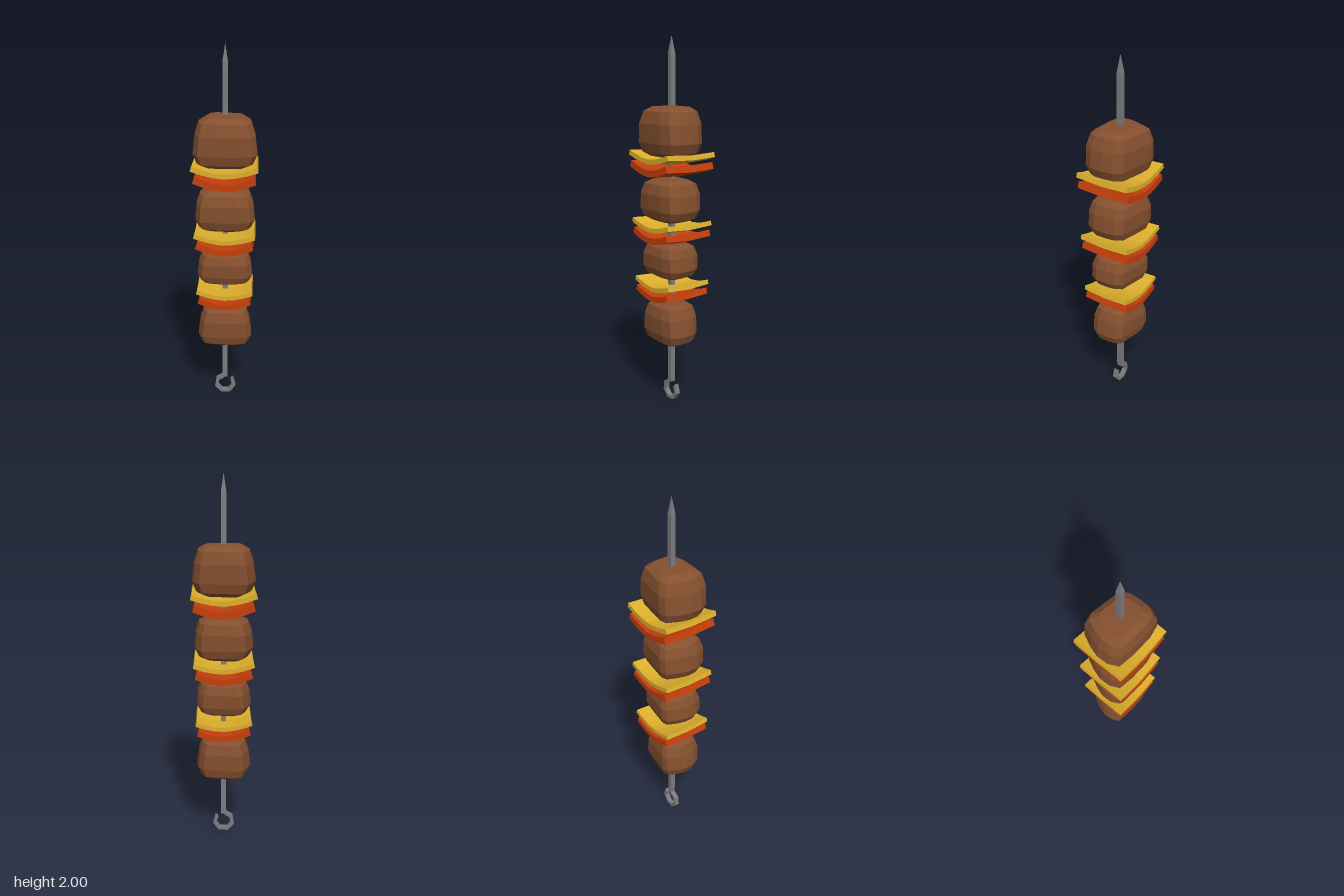
import * as THREE from 'three';

const paint = (color) => new THREE.MeshStandardMaterial({ color, flatShading: true });
const metal = paint(0x7c7c80), meat = paint(0x85502f), yellow = paint(0xddb02c), red = paint(0xc63f0c);

// Outline of a meat chunk seen from above (x, z), counter-clockwise
const OUTLINE = [
  [-0.172, 0], [-0.168, 0.065], [-0.14, 0.118], [-0.05, 0.13], [0.075, 0.132], [0.145, 0.117], [0.17, 0.07],
  [0.17, 0], [0.16, -0.06], [0.13, -0.105], [0.02, -0.122], [-0.085, -0.137], [-0.125, -0.125], [-0.155, -0.06],
];
// Height fraction, width scale, depth scale
const LEVELS = [[0, 0.6, 0.65], [0.08, 0.87, 0.87], [0.27, 1, 0.98], [0.65, 0.95, 1], [0.89, 0.83, 0.87], [0.98, 0.6, 0.6]];

function chunkGeometry(height, sx, sz, taper) {
  const n = OUTLINE.length, pos = [], index = [];
  for (const [t, wx, wz] of LEVELS) {
    const k = 1 - taper * t;
    for (const [x, z] of OUTLINE) pos.push(x * wx * sx * k, t * height, z * wz * sz);
  }
  const bottom = pos.length / 3, top = bottom + 1, last = (LEVELS.length - 1) * n;
  pos.push(0, 0, 0, 0, height, 0);
  for (let i = 0; i < n; i++) {
    const j = (i + 1) % n;
    for (let r = 0; r < last; r += n) {
      index.push(r + i, r + j, r + n + j, r + i, r + n + j, r + n + i);
    }
    index.push(bottom, j, i, top, last + i, last + j);
  }
  const g = new THREE.BufferGeometry();
  g.setAttribute('position', new THREE.Float32BufferAttribute(pos, 3));
  g.setIndex(index);
  g.computeVertexNormals();
  return g;
}

// Thin slab curled up at both x ends, with a slight dip along z
function sliceGeometry(width, thick, depth, rise) {
  const g = new THREE.BoxGeometry(width, thick, depth, 6, 1, 2);
  const p = g.attributes.position;
  for (let i = 0; i < p.count; i++) {
    const x = p.getX(i), y = p.getY(i), z = p.getZ(i);
    const u = x / (width / 2), slope = 2 * rise * u / (width / 2);
    p.setX(i, x - slope * y * 0.6);
    p.setY(i, y + rise * Math.pow(Math.abs(u), 1.7) - 0.008 * (1 - Math.abs(z) / (depth / 2)) + 0.005 * (1 - u) / 2);
  }
  g.computeVertexNormals();
  return g;
}

// Open hook at the foot of the skewer
function hookGeometry() {
  const ring = (r) => Array.from({ length: 7 }, (_, i) => {
    const a = (95 + i * 51) * Math.PI / 180;
    return new THREE.Vector2(r * Math.cos(a), r * Math.sin(a));
  });
  const shape = new THREE.Shape([...ring(0.061), ...ring(0.041).reverse()]);
  return new THREE.ExtrudeGeometry(shape, { depth: 0.026, bevelEnabled: false }).translate(0, 0.058, -0.013);
}

export function createModel() {
  const group = new THREE.Group();
  const add = (name, geometry, material, y = 0) => {
    const mesh = new THREE.Mesh(geometry, material);
    mesh.name = name;
    mesh.position.y = y;
    group.add(mesh);
  };

  // Square skewer with pointed tip and hook
  const r = 0.014 * Math.SQRT2;
  add('skewerRod', new THREE.CylinderGeometry(r, r, 1.8, 4).rotateY(Math.PI / 4), metal, 1.005);
  add('skewerTip', new THREE.ConeGeometry(r, 0.095, 4, 1, true).rotateY(Math.PI / 4), metal, 1.9525);
  add('skewerHook', hookGeometry(), metal);

  // Meat chunks: base height, height, width scale, depth scale, taper
  [
    [0.345, 0.235, 0.89, 0.86, 0.08],
    [0.72, 0.19, 0.87, 0.89, 0],
    [1.03, 0.225, 0.93, 0.97, 0],
    [1.375, 0.265, 1, 1, 0.05],
  ].forEach(([y, h, sx, sz, taper], i) => add(`meatChunk${i + 1}`, chunkGeometry(h, sx, sz, taper), meat, y));

  // Pairs of curled vegetable slices: yellow centre height, size scale
  [[0.66, 0.88], [0.985, 0.94], [1.35, 1]].forEach(([y, s], i) => {
    add(`yellowSlice${i + 1}`, sliceGeometry(0.34 * s, 0.026 * s, 0.31 * s, 0.037 * s), yellow, y);
    add(`redSlice${i + 1}`, sliceGeometry(0.315 * s, 0.035 * s, 0.31 * s, 0.04 * s), red, y - 0.062 * s);
  });
  return group;
}
